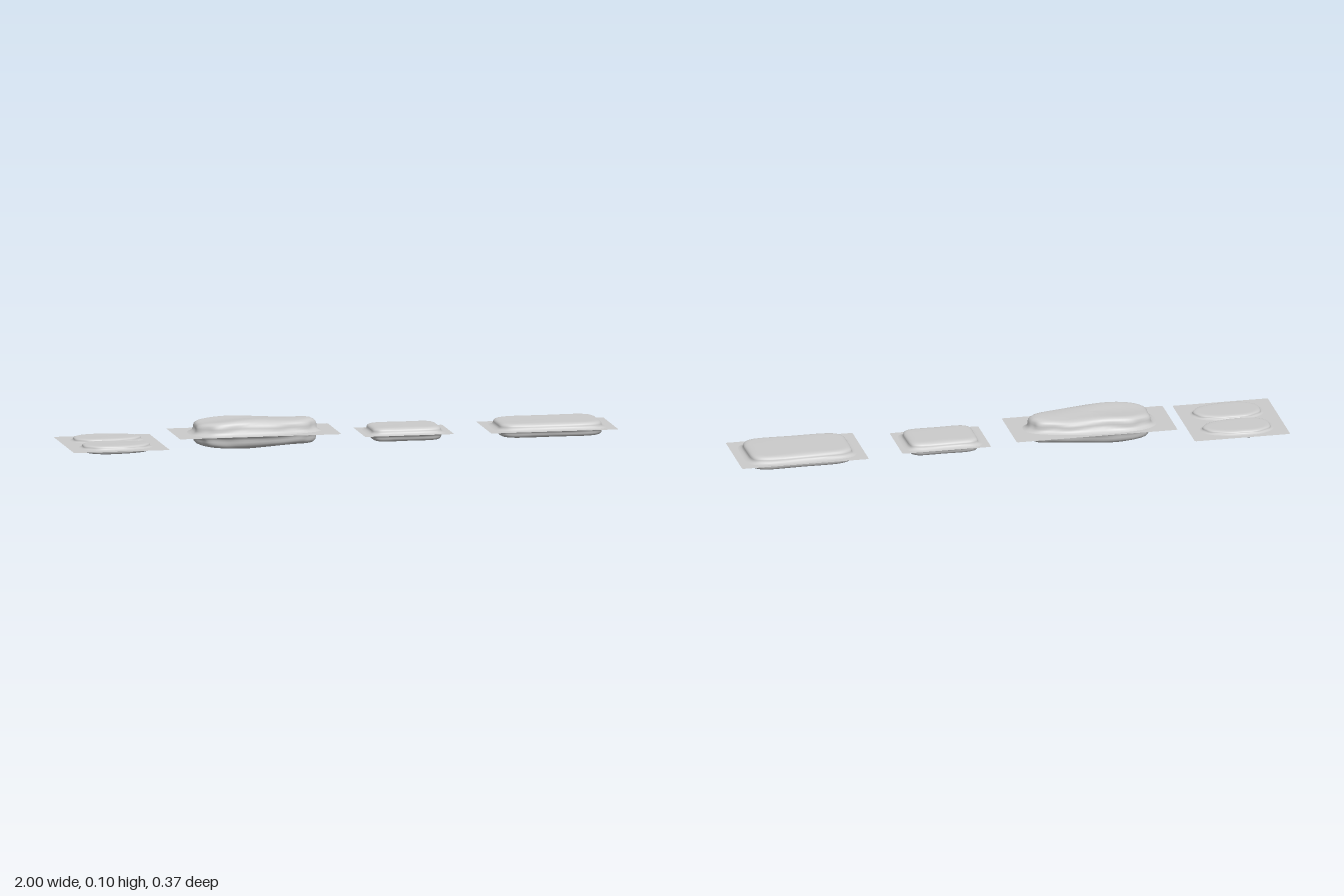
import * as THREE from 'three';

const film = new THREE.MeshStandardMaterial({ color: 0xcccccc, side: THREE.DoubleSide });
film.name = 'pale grey film';

// Wall profile of a sealed bulge: [outward offset, share of height]
const PROFILE = [
  [0.022, 0], [0.014, 0.05], [0.006, 0.16], [0.001, 0.32], [0, 0.5], [-0.002, 0.68],
  [-0.007, 0.82], [-0.015, 0.92], [-0.026, 0.98], [-0.042, 1],
];
const INNER = [0.7, 0.4, 0]; // remaining rings shrink to the centre
const SEG = 96;

// Tapered superellipse outline around the contents
function outlinePoint(p, a) {
  const pw = (v) => Math.sign(v) * Math.abs(v) ** (2 / p.power);
  const u = pw(Math.cos(a));
  return [u * p.rx, pw(Math.sin(a)) * p.rz * (1 - p.taper * u)];
}

// One half of a bulge, dir = 1 above the seam and -1 below it
function bulge(p, dir) {
  const h = dir > 0 ? p.up : p.down;
  const spread = p.spread ?? 1;
  const rings = PROFILE.map(([o, t]) => ({ o: o * spread, t, s: 1 }));
  const last = rings[rings.length - 1];
  INNER.forEach((s) => rings.push({ o: last.o, t: 1, s }));
  const pos = [], index = [];
  rings.forEach(({ o, t, s }) => {
    for (let i = 0; i < SEG; i++) {
      const a = (i / SEG) * Math.PI * 2;
      const [x, z] = outlinePoint(p, a);
      const r = Math.hypot(x, z);
      // crinkles along the wall, fading out at the seam
      const ripple = p.lumps * 0.004 * Math.sin(a * 9 + dir) * Math.sin(t * Math.PI);
      const k = ((r + o + ripple) / r) * s;
      const px = x * k, pz = z * k;
      const lump = 1 + p.lumps * (0.07 * Math.cos((px / p.rx) * 4.2 + 0.6) + 0.04 * Math.sin(pz * 35 + px * 9) - 0.03);
      pos.push(px, dir * h * t * lump, pz);
    }
  });
  for (let j = 0; j < rings.length - 1; j++) {
    for (let i = 0; i < SEG; i++) {
      const n = (i + 1) % SEG;
      const a = j * SEG + i, b = j * SEG + n, c = a + SEG, d = b + SEG;
      if (dir > 0) index.push(a, c, b, b, c, d);
      else index.push(a, b, c, b, d, c);
    }
  }
  const g = new THREE.BufferGeometry();
  g.setAttribute('position', new THREE.Float32BufferAttribute(pos, 3));
  g.setIndex(index);
  g.computeVertexNormals();
  return g;
}

// Flat sealed sheet with slightly rounded corners
function sheet(x0, x1, z0, z1) {
  const r = 0.008, s = new THREE.Shape();
  s.moveTo(x0 + r, -z1);
  s.lineTo(x1 - r, -z1);
  s.quadraticCurveTo(x1, -z1, x1, -z1 + r);
  s.lineTo(x1, -z0 - r);
  s.quadraticCurveTo(x1, -z0, x1 - r, -z0);
  s.lineTo(x0 + r, -z0);
  s.quadraticCurveTo(x0, -z0, x0, -z0 - r);
  s.lineTo(x0, -z1 + r);
  s.quadraticCurveTo(x0, -z1, x0 + r, -z1);
  return new THREE.ShapeGeometry(s).rotateX(-Math.PI / 2);
}

const PACKS = [
  { name: 'twinOvalPack', y: 0.025, sheet: [-1, -0.65, -0.187, 0.183], items: [
    { x: -0.825, z: -0.086, rx: 0.122, rz: 0.07, power: 2.3, taper: 0.14, up: 0.014, down: 0.016, lumps: 0.3, spread: 0.5 },
    { x: -0.825, z: 0.075, rx: 0.122, rz: 0.073, power: 2.3, taper: 0.1, up: 0.014, down: 0.016, lumps: 0.3, spread: 0.5 },
  ] },
  { name: 'largeTaperedPack', y: 0.052, sheet: [-0.6, -0.01, -0.128, 0.122], items: [
    { x: -0.303, z: -0.002, rx: 0.22, rz: 0.088, power: 2.9, taper: 0.24, up: 0.048, down: 0.047, lumps: 1 },
  ] },
  { name: 'smallBlockPack', y: 0.036, sheet: [0.08, 0.405, -0.11, 0.105], items: [
    { x: 0.243, z: -0.003, rx: 0.126, rz: 0.086, power: 6, taper: 0, up: 0.024, down: 0.026, lumps: 0.12, spread: 0.8 },
  ] },
  { name: 'wideBlockPack', y: 0.038, sheet: [0.535, 1, -0.14, 0.132], items: [
    { x: 0.767, z: -0.004, rx: 0.187, rz: 0.107, power: 5.5, taper: -0.03, up: 0.025, down: 0.027, lumps: 0.12, spread: 0.8 },
  ] },
];

export function createModel() {
  const model = new THREE.Group();
  model.name = 'sealedFoodPacks';
  const add = (parent, geometry, name) => {
    const m = new THREE.Mesh(geometry, film);
    m.name = name;
    parent.add(m);
    return m;
  };
  for (const pack of PACKS) {
    const group = new THREE.Group();
    group.name = pack.name;
    group.position.y = pack.y;
    add(group, sheet(...pack.sheet), 'sealedSheet');
    for (const item of pack.items) {
      add(group, bulge(item, 1), 'upperBulge').position.set(item.x, 0, item.z);
      add(group, bulge(item, -1), 'lowerBulge').position.set(item.x, 0, item.z);
    }
    model.add(group);
  }
  // stand the lowest point on the ground
  model.position.y = -new THREE.Box3().setFromObject(model, true).min.y;
  return model;
}
